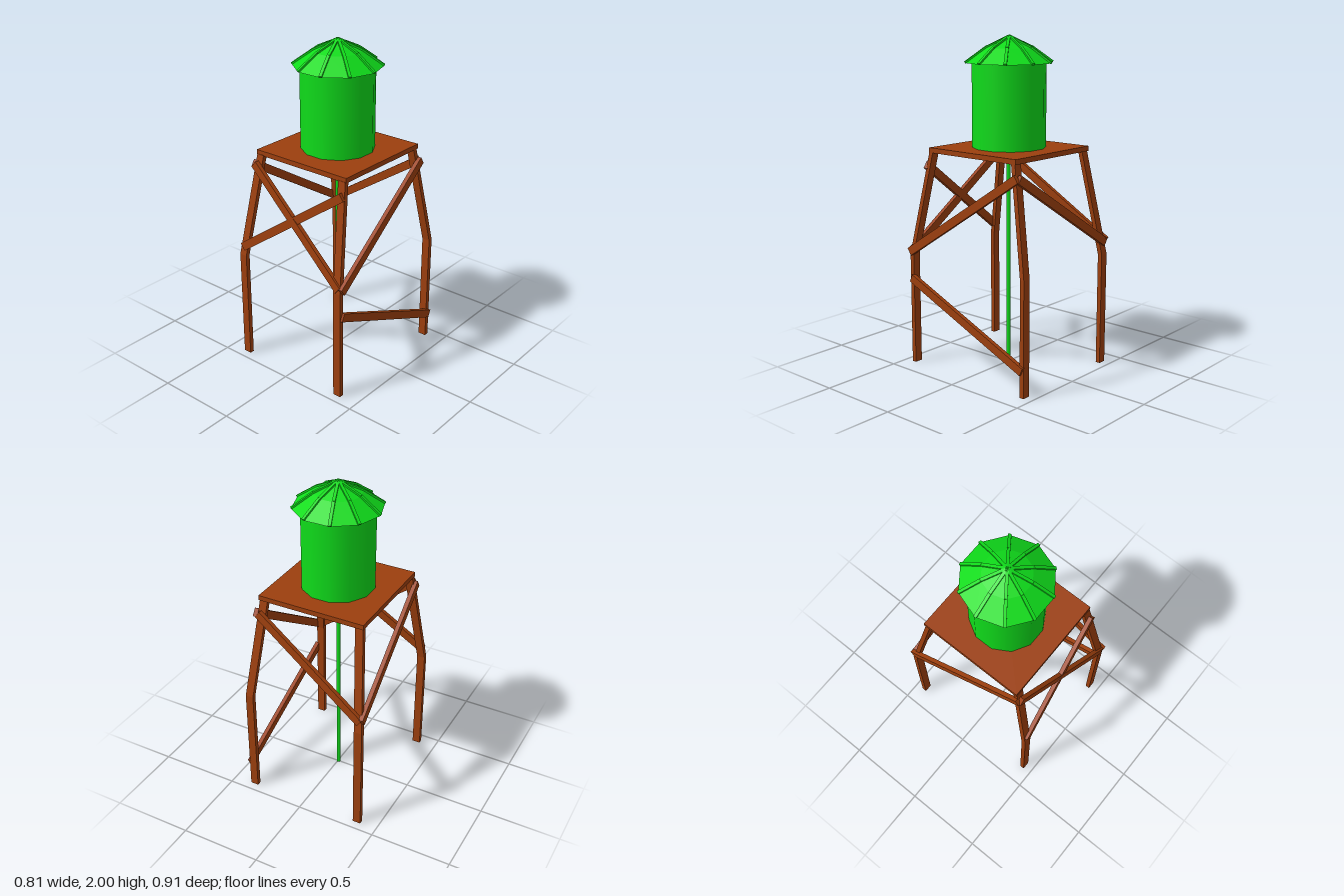
import * as THREE from 'three';

const V = (x, y, z) => new THREE.Vector3(x, y, z);
const wood = new THREE.MeshStandardMaterial({ color: 0x9c3f0e, flatShading: true });
const green = new THREE.MeshStandardMaterial({ color: 0x0fdc1a });
const greenFlat = new THREE.MeshStandardMaterial({ color: 0x0fdc1a, flatShading: true, side: THREE.DoubleSide });
const C = -0.005; // axis of tank, platform and pipe

function add(parent, name, geometry, material, x = 0, y = 0, z = 0) {
  const mesh = new THREE.Mesh(geometry, material);
  mesh.name = name;
  mesh.position.set(x, y, z);
  parent.add(mesh);
  return mesh;
}

// Rectangular bar from a to b, its thin side facing "out"
function bar(parent, name, a, b, out, width, thickness, material) {
  const dir = b.clone().sub(a);
  const length = dir.length();
  dir.normalize();
  const side = dir.clone().cross(out).normalize();
  const normal = side.clone().cross(dir);
  const geometry = new THREE.BoxGeometry(length, width, thickness);
  geometry.applyMatrix4(new THREE.Matrix4().makeBasis(dir, normal.clone().cross(dir), normal));
  const mid = a.clone().add(b).multiplyScalar(0.5);
  return add(parent, name, geometry, material, mid.x, mid.y, mid.z);
}

// Leg: a box whose three rings are moved to foot, knee and platform
function legGeometry(sx, sz) {
  const rings = [[0.365, 0, 0.435], [0.365, 0.69, 0.435], [0.305, 1.32, 0.318]];
  const geometry = new THREE.BoxGeometry(0.05, 2, 0.028, 1, 2, 1);
  const p = geometry.attributes.position;
  for (let i = 0; i < p.count; i++) {
    const [x, y, z] = rings[Math.round(p.getY(i)) + 1];
    p.setXYZ(i, p.getX(i) + sx * x + C, y, p.getZ(i) + sz * z);
  }
  geometry.computeVertexNormals();
  return geometry;
}

export function createModel() {
  const model = new THREE.Group();
  model.name = 'waterTower';

  // Legs
  for (const sx of [-1, 1]) {
    for (const sz of [-1, 1]) {
      add(model, `${sz > 0 ? 'front' : 'back'}${sx > 0 ? 'Left' : 'Right'}Leg`, legGeometry(sx, sz), wood);
    }
  }

  // Diagonal braces: name, start, end, outward direction
  const braces = [
    ['frontBraceA', V(-0.335, 1.265, 0.355), V(0.37, 0.712, 0.44), V(0, 0, 1)],
    ['frontBraceB', V(-0.37, 0.745, 0.44), V(0.325, 1.24, 0.355), V(0, 0, 1)],
    ['backBrace', V(-0.38, 0.765, -0.442), V(0.325, 1.235, -0.36), V(0, 0, -1)],
    ['leftBrace', V(0.39, 0.705, 0.442), V(0.34, 1.24, -0.36), V(1, 0, 0)],
    ['rightBrace', V(-0.39, 0.77, -0.442), V(-0.345, 1.262, 0.35), V(-1, 0, 0)],
    ['leftLowBrace', V(0.386, 0.54, 0.435), V(0.386, 0.16, -0.44), V(1, 0, 0)],
  ];
  for (const [name, a, b, out] of braces) bar(model, name, a, b, out, 0.05, 0.026, wood);

  // Platform
  add(model, 'platform', new THREE.BoxGeometry(0.67, 0.03, 0.67), wood, C, 1.33, C);

  // Pipe down from the tank
  add(model, 'pipe', new THREE.CylinderGeometry(0.0125, 0.0125, 1.32, 8), green, C, 0.66, 0);

  // Tank
  const tank = new THREE.CylinderGeometry(0.219, 0.219, 0.495, 12);
  tank.rotateY(Math.PI / 12);
  add(model, 'tank', tank, green, C, 1.5925, C);

  // Ten-sided roof shell with a rib on every ridge
  const roof = new THREE.Group();
  roof.name = 'roof';
  roof.position.set(C, 0, C);
  model.add(roof);
  const profile = [[0.262, 1.84], [0.14, 1.926], [0.001, 1.99]];
  add(roof, 'roofShell', new THREE.LatheGeometry(
    profile.map(([r, y]) => new THREE.Vector2(r, y)), 10, Math.PI / 2), greenFlat);
  for (let i = 0; i < 10; i++) {
    const t = (i * Math.PI) / 5;
    const at = ([r, y]) => V(r * Math.cos(t), y + 0.003, r * Math.sin(t));
    for (let k = 0; k < 2; k++) {
      bar(roof, 'roofRib', at(profile[k]), at(profile[k + 1]), V(0, 1, 0), 0.018, 0.012, greenFlat);
    }
  }
  return model;
}
